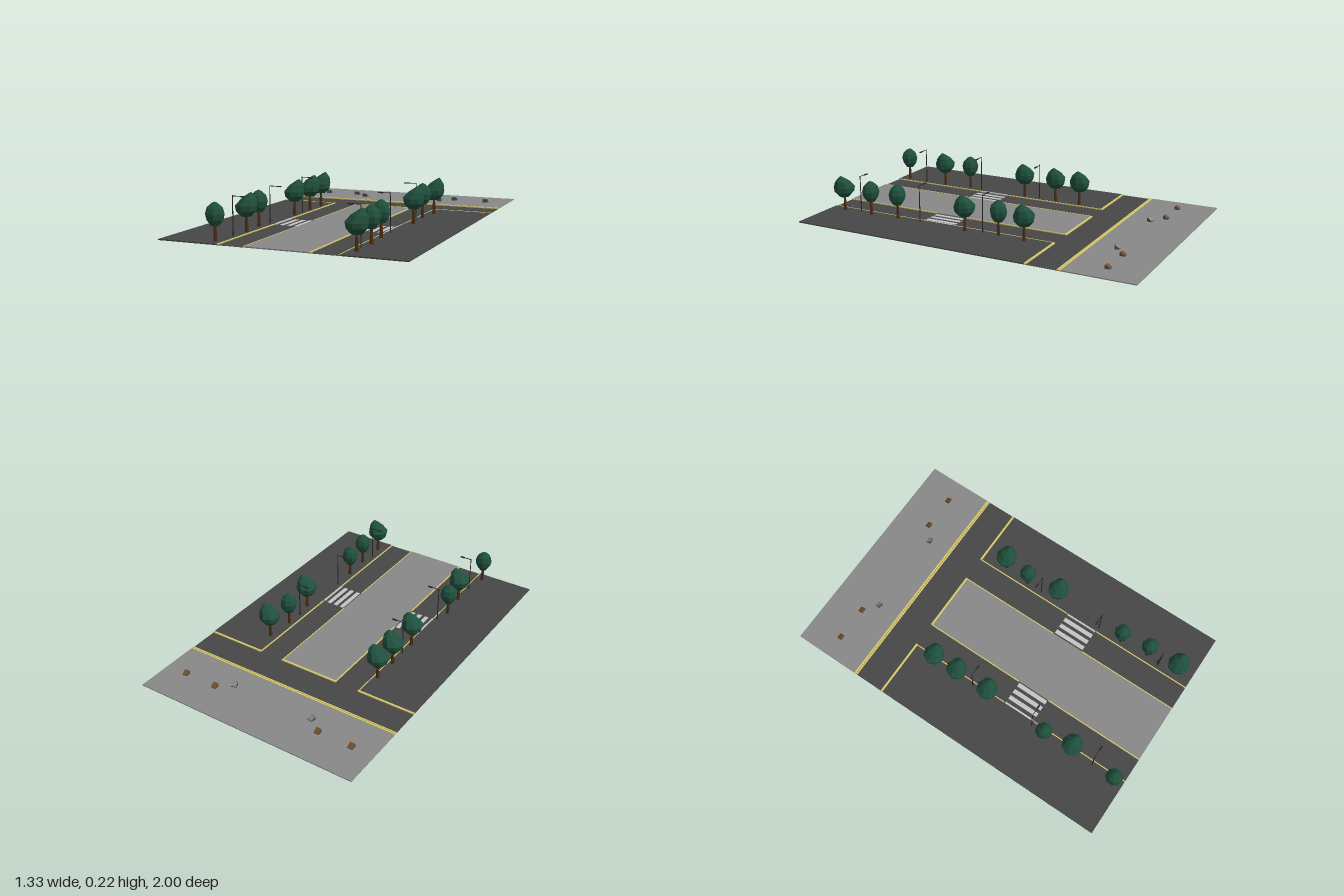
import * as THREE from 'three';

const mat = (name, color) => {
  const m = new THREE.MeshStandardMaterial({ color, side: THREE.DoubleSide });
  m.name = name;
  return m;
};

export function createModel() {
  const model = new THREE.Group();
  model.name = 'streetBlock';
  const asphalt = mat('asphalt', 0x474747);
  const paving = mat('paving', 0x888888);
  const yellow = mat('kerb yellow', 0xd6c868);
  const white = mat('crossing white', 0xc4c4c4);
  const leaf = mat('leaf green', 0x1f4f3c);
  const bark = mat('bark brown', 0x4a2d14);
  const wood = mat('wood brown', 0x7a4f20);
  const metal = mat('lamp metal', 0x26282a);
  const stone = mat('bench grey', 0x505052);
  leaf.flatShading = true;

  const add = (parent, name, geo, material, x = 0, y = 0, z = 0) => {
    const mesh = new THREE.Mesh(geo, material);
    mesh.name = name;
    mesh.position.set(x, y, z);
    parent.add(mesh);
    return mesh;
  };
  // Box given by its bounds
  const slab = (name, material, x0, x1, y0, y1, z0, z1) =>
    add(model, name, new THREE.BoxGeometry(x1 - x0, y1 - y0, z1 - z0), material,
      (x0 + x1) / 2, (y0 + y1) / 2, (z0 + z1) / 2);

  // Ground: low road, raised pavements, median and plaza
  const LOW = 0.004, TOP = 0.009, W = 0.665;
  slab('crossRoad', asphalt, -W, W, 0.003, LOW, -0.6, -0.41);
  slab('roadRight', asphalt, -0.325, -0.178, 0.003, LOW, -0.41, 1);
  slab('roadLeft', asphalt, 0.174, 0.323, 0.003, LOW, -0.41, 1);
  slab('pavementRight', asphalt, -W, -0.325, 0.003, TOP, -0.41, 1);
  slab('pavementLeft', asphalt, 0.323, W, 0.003, TOP, -0.41, 1);
  slab('median', paving, -0.178, 0.174, 0.003, TOP, -0.41, 1);
  slab('plaza', paving, -W, W, 0.003, TOP - 0.001, -1, -0.6);

  // Painted kerbs, interrupted at the outer side of the crossing
  const kerb = (x0, x1, z0, z1) => slab('kerbLine', yellow, x0, x1, 0.0025, TOP + 0.0006, z0, z1);
  kerb(-W, W, -0.606, -0.597);
  kerb(-W, W, -0.594, -0.586);
  for (const [a, b] of [[-W, -0.323], [-0.18, 0.176], [0.321, W]]) kerb(a, b, -0.418, -0.406);
  for (const x of [-0.327, -0.179, 0.173, 0.322]) {
    kerb(x - 0.003, x + 0.003, -0.41, 0.2);
    kerb(x - 0.003, x + 0.003, 0.4, 1);
  }

  // Zebra crossings
  for (const start of [-0.284, 0.196])
    for (let i = 0; i < 3; i++) {
      const x = start + i * 0.044;
      slab('crossingStripe', white, x - 0.0125, x + 0.0125, 0.0025, LOW + 0.001, 0.205, 0.395);
    }
  slab('crossingStripe', white, -0.33, -0.319, 0.0025, TOP + 0.001, 0.205, 0.395);
  slab('crossingStripe', white, 0.314, 0.324, 0.0025, TOP + 0.001, 0.205, 0.395);

  // Trees: faceted egg crowns, the large ones with a tip leaning to +x
  const crown = (profile, lean) => {
    const geo = new THREE.LatheGeometry(profile.map(([r, y]) => new THREE.Vector2(r, y)), 8);
    const p = geo.attributes.position;
    for (let i = 0; i < p.count; i++) {
      const t = Math.max(0, (p.getY(i) - 0.15) / 0.07);
      p.setX(i, p.getX(i) + lean * t);
    }
    geo.computeVertexNormals();
    return geo;
  };
  const bigCrown = crown([[0, 0.088], [0.028, 0.092], [0.056, 0.122], [0.061, 0.15],
    [0.042, 0.185], [0.012, 0.212], [0, 0.22]], 0.03);
  const smallCrown = crown([[0, 0.083], [0.022, 0.087], [0.042, 0.115], [0.049, 0.146],
    [0.04, 0.178], [0.016, 0.2], [0, 0.207]], 0);
  const trunkGeo = new THREE.CylinderGeometry(0.006, 0.0105, 0.1, 6);
  const trees = [
    [-0.35, -0.26, 1], [-0.35, -0.105, 1], [-0.35, 0.1, 1],
    [-0.37, 0.49, 0], [-0.35, 0.66, 1], [-0.37, 0.94, 0],
    [0.37, -0.26, 1], [0.355, -0.1, 0], [0.37, 0.1, 1],
    [0.355, 0.545, 0], [0.37, 0.715, 0], [0.37, 0.9, 1],
  ];
  trees.forEach(([x, z, big], i) => {
    const tree = new THREE.Group();
    tree.name = 'tree';
    tree.position.set(x, 0, z);
    add(tree, 'trunk', trunkGeo, bark, 0, 0.05, 0);
    const c = add(tree, 'crown', big ? bigCrown : smallCrown, leaf);
    if (!big) c.rotation.y = i * 0.7;
    model.add(tree);
  });

  // Street lamps reaching over the road
  for (const side of [-1, 1])
    for (const z of [0, 0.4, 0.8]) {
      const lamp = new THREE.Group();
      lamp.name = 'streetLamp';
      lamp.position.set(side * 0.35, 0, z);
      add(lamp, 'pole', new THREE.CylinderGeometry(0.0022, 0.0035, 0.218, 8), metal, 0, 0.111, 0);
      add(lamp, 'arm', new THREE.BoxGeometry(0.05, 0.003, 0.003), metal, -side * 0.025, 0.217, 0);
      add(lamp, 'lampHead', new THREE.BoxGeometry(0.026, 0.005, 0.009), metal, -side * 0.056, 0.216, 0);
      model.add(lamp);
    }

  // Benches: wedge blocks with a sloping board towards the back
  const bench = (x, z, turn, board) => {
    const g = new THREE.Group();
    g.name = 'bench';
    g.position.set(x, 0.008, z);
    g.rotation.y = turn;
    const s = new THREE.Shape([[-0.014, 0], [0.014, 0], [0.014, 0.018], [0.012, 0.021], [-0.014, 0.004]]
      .map(([a, b]) => new THREE.Vector2(a, b)));
    const geo = new THREE.ExtrudeGeometry(s, { depth: 0.03, bevelEnabled: false });
    geo.translate(0, 0, -0.015).rotateY(-Math.PI / 2);
    add(g, 'benchBlock', geo, stone);
    const b = add(g, 'benchBoard', new THREE.BoxGeometry(0.028, 0.002, 0.028), board, 0, 0.0128, -0.0015);
    b.rotation.x = -0.579;
    model.add(g);
  };
  for (const x of [-0.536, -0.335, 0.331, 0.531]) bench(x, -0.802, 0, wood);
  bench(-0.253, -0.738, -0.25, paving);
  bench(0.249, -0.738, 0.25, paving);

  return model;
}
